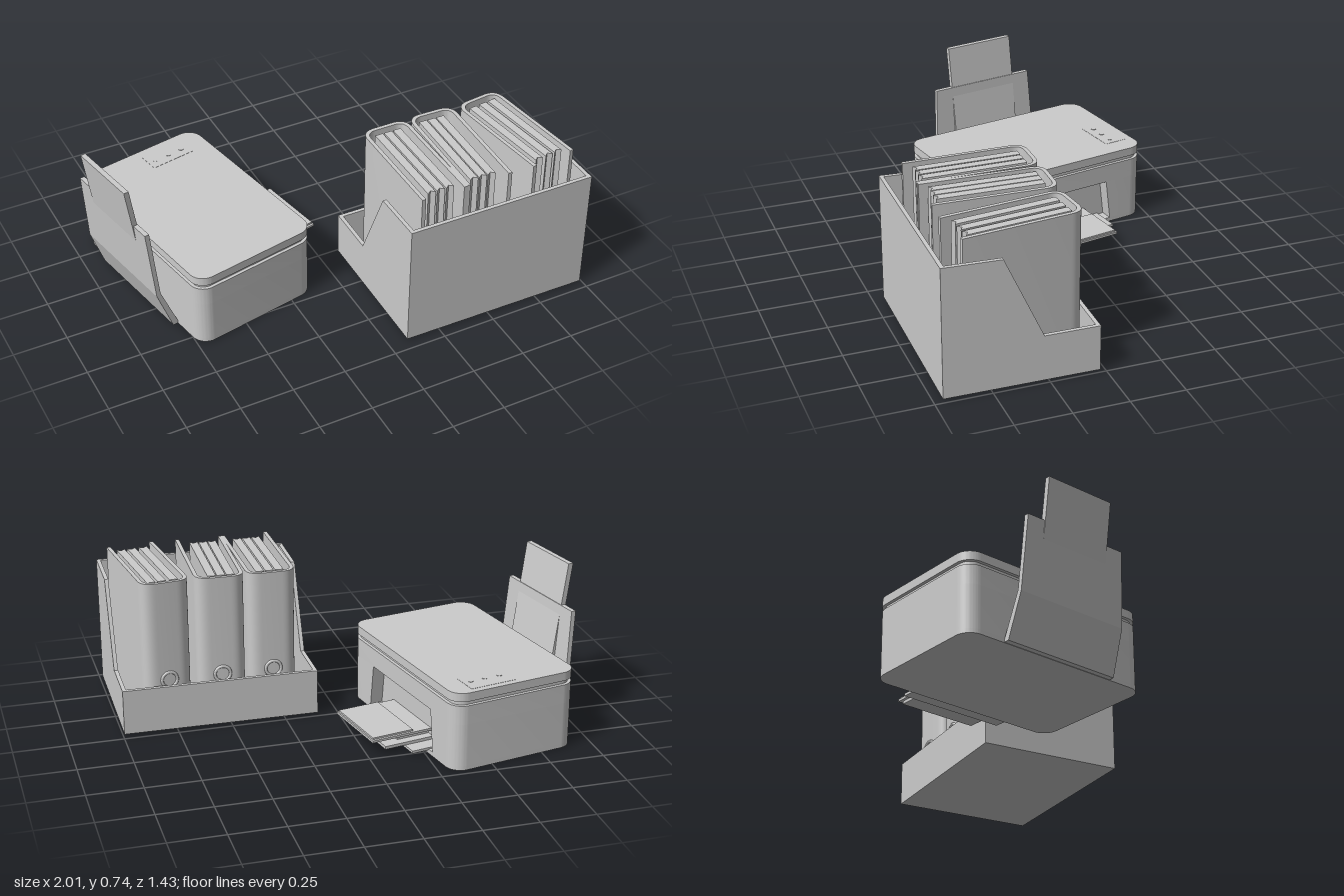
import * as THREE from 'three';
import { toCreasedNormals } from 'three/addons/utils/BufferGeometryUtils.js';

const material = new THREE.MeshStandardMaterial({ color: 0xcccccc, side: THREE.DoubleSide });

function add(parent, name, geometry, x = 0, y = 0, z = 0) {
  const mesh = new THREE.Mesh(geometry, material);
  mesh.name = name;
  mesh.position.set(x, y, z);
  parent.add(mesh);
  return mesh;
}

const box = (w, h, d) => new THREE.BoxGeometry(w, h, d);
const polygon = (points) => new THREE.Shape(points.map(([x, y]) => new THREE.Vector2(x, y)));

// Plan outline (x, -z) raised upwards
function raise(shape, height) {
  const g = new THREE.ExtrudeGeometry(shape, { depth: height, bevelEnabled: false, curveSegments: 10 });
  return toCreasedNormals(g.rotateX(-Math.PI / 2), 0.6);
}

// Rounded plan, optionally with a notch in the +x side
function footprint(w, d, r, notch = 0, half = 0) {
  const x = w / 2, y = d / 2, s = new THREE.Shape();
  s.moveTo(-x + r, -y);
  s.lineTo(x - r, -y);
  s.absarc(x - r, -y + r, r, -Math.PI / 2, 0);
  if (notch) {
    s.lineTo(x, -half);
    s.lineTo(x - notch, -half);
    s.lineTo(x - notch, half);
    s.lineTo(x, half);
  }
  s.absarc(x - r, y - r, r, 0, Math.PI / 2);
  s.absarc(-x + r, y - r, r, Math.PI / 2, Math.PI);
  s.absarc(-x + r, -y + r, r, Math.PI, Math.PI * 1.5);
  return s;
}

// Side profile (x, y) given a depth in z that changes with height
function plate(points, halfBottom, halfTop, top) {
  const g = new THREE.ExtrudeGeometry(polygon(points), { depth: 2, bevelEnabled: false });
  g.translate(0, 0, -1);
  const p = g.attributes.position;
  for (let i = 0; i < p.count; i++) {
    p.setZ(i, p.getZ(i) * THREE.MathUtils.lerp(halfBottom, halfTop, p.getY(i) / top));
  }
  g.computeVertexNormals();
  return g;
}

function createPrinter() {
  const printer = new THREE.Group();
  printer.name = 'printer';
  const W = 0.62, D = 0.95, R = 0.07;

  // Housing with the output recess
  add(printer, 'housingBase', raise(footprint(W, D, R), 0.02));
  add(printer, 'housingLower', raise(footprint(W, D, R, 0.06, 0.29), 0.197), 0, 0.02, 0);
  add(printer, 'housingUpper', raise(footprint(W, D, R), 0.088), 0, 0.217, 0);
  add(printer, 'lidGap', raise(footprint(W - 0.03, D - 0.03, R - 0.015), 0.022), 0, 0.304, 0);
  add(printer, 'lid', raise(footprint(W, D, R), 0.04), 0, 0.325, 0);
  for (const s of [-1, 1]) {
    const wedge = new THREE.ExtrudeGeometry(
      polygon([[0.29 * s, 0.02], [0.29 * s, 0.217], [0.265 * s, 0.217]]), { depth: 0.06, bevelEnabled: false });
    add(printer, 'recessCheek', wedge.rotateY(Math.PI / 2), W / 2 - 0.06, 0, 0);
  }

  // Control panel
  add(printer, 'controlPanel', box(0.22, 0.002, 0.12), 0.103, 0.365, -0.385);
  for (let i = -1; i <= 1; i++) {
    add(printer, 'button', new THREE.CylinderGeometry(0.012, 0.012, 0.004, 20), 0.103 + i * 0.072, 0.366, -0.372);
  }

  // Output door and trays
  add(printer, 'outputDoor', box(0.14, 0.012, 0.51), 0.32, 0.021, 0);
  add(printer, 'lowerTray', box(0.24, 0.014, 0.38), 0.37, 0.036, 0);
  add(printer, 'trayRib', box(0.16, 0.022, 0.3), 0.33, 0.054, 0);
  add(printer, 'upperTray', box(0.295, 0.011, 0.348), 0.398, 0.07, 0);
  add(printer, 'paperStop', box(0.2, 0.008, 0.33), 0.44, 0.081, 0);

  // Paper feeder: bent flap with a tall support inside it
  add(printer, 'feederFlap', plate([[-0.305, 0.002], [-0.385, 0.21], [-0.412, 0.545],
    [-0.434, 0.545], [-0.405, 0.2], [-0.335, 0.002]], 0.285, 0.26, 0.545));
  add(printer, 'paperSupport', plate([[-0.305, 0.04], [-0.365, 0.21], [-0.444, 0.738],
    [-0.468, 0.738], [-0.39, 0.21], [-0.32, 0.04]], 0.172, 0.172, 0.738));

  printer.position.set(-0.522, 0, -0.205);
  printer.rotation.y = 0.192;
  return printer;
}

// U-shaped plan with a rounded spine at z = 0, open towards +z
function coverShape(w, length, r, t) {
  const s = new THREE.Shape();
  s.moveTo(-w, -length);
  s.lineTo(-w, -r);
  s.quadraticCurveTo(-w, 0, -w + r, 0);
  s.lineTo(w - r, 0);
  s.quadraticCurveTo(w, 0, w, -r);
  s.lineTo(w, -length);
  s.lineTo(w - t, -length);
  s.lineTo(w - t, -r);
  s.quadraticCurveTo(w - t, -t, w - r, -t);
  s.lineTo(-w + r, -t);
  s.quadraticCurveTo(-w + t, -t, -w + t, -r);
  s.lineTo(-w + t, -length);
  return s;
}

function createBinder(pageOffsets) {
  const binder = new THREE.Group();
  binder.name = 'binder';
  add(binder, 'cover', raise(coverShape(0.112, 0.555, 0.065, 0.018), 0.672), 0, 0.03, 0);
  add(binder, 'fingerRing', new THREE.TorusGeometry(0.036, 0.007, 8, 28), 0, 0.235, 0);
  // Page blocks with a notched fore edge
  for (const x of pageOffsets) {
    const h = 0.019;
    const shape = polygon([[-h, -0.045], [h, -0.045], [h, -0.52], [0, -0.505], [-h, -0.52]]);
    add(binder, 'pages', raise(shape, 0.66), x, 0.035, 0);
  }
  return binder;
}

function createFileBox() {
  const fileBox = new THREE.Group();
  fileBox.name = 'fileBox';
  const W = 0.9, D = 0.685, T = 0.018, B = 0.01;

  // Floor, tall front wall and low back wall
  add(fileBox, 'floor', box(W, 0.02, D), 0, B + 0.01, 0);
  add(fileBox, 'frontWall', box(W, 0.6, T), 0, B + 0.3, D / 2 - T / 2);
  add(fileBox, 'backWall', box(W, 0.21, T), 0, B + 0.105, -D / 2 + T / 2);

  // Side walls sloping from the high front to the low back
  const profile = polygon([[-D / 2, B], [D / 2, B], [D / 2, 0.61], [0.08, 0.603], [-0.095, 0.22], [-D / 2, 0.22]]);
  for (const s of [-1, 1]) {
    const wall = new THREE.ExtrudeGeometry(profile, { depth: T, bevelEnabled: false });
    wall.rotateY(-Math.PI / 2).translate(T / 2, 0, 0);
    add(fileBox, 'sideWall', wall, s * (W / 2 - T / 2), 0, 0);
  }

  fileBox.position.set(0.541, 0, 0.363);
  fileBox.rotation.y = -0.012;
  return fileBox;
}

export function createModel() {
  const model = new THREE.Group();
  model.name = 'deskSet';
  model.add(createPrinter(), createFileBox());

  // Binders: spine x, turn, page positions
  const binders = [
    [0.29, 0, [-0.045, 0, 0.045]],
    [0.527, -0.03, [-0.055, -0.012, 0.031]],
    [0.772, 0.12, [-0.05, 0.005, 0.055]],
  ];
  for (const [x, turn, pages] of binders) {
    const binder = createBinder(pages);
    binder.position.set(x, 0, 0.068);
    binder.rotation.y = turn;
    model.add(binder);
  }
  return model;
}
